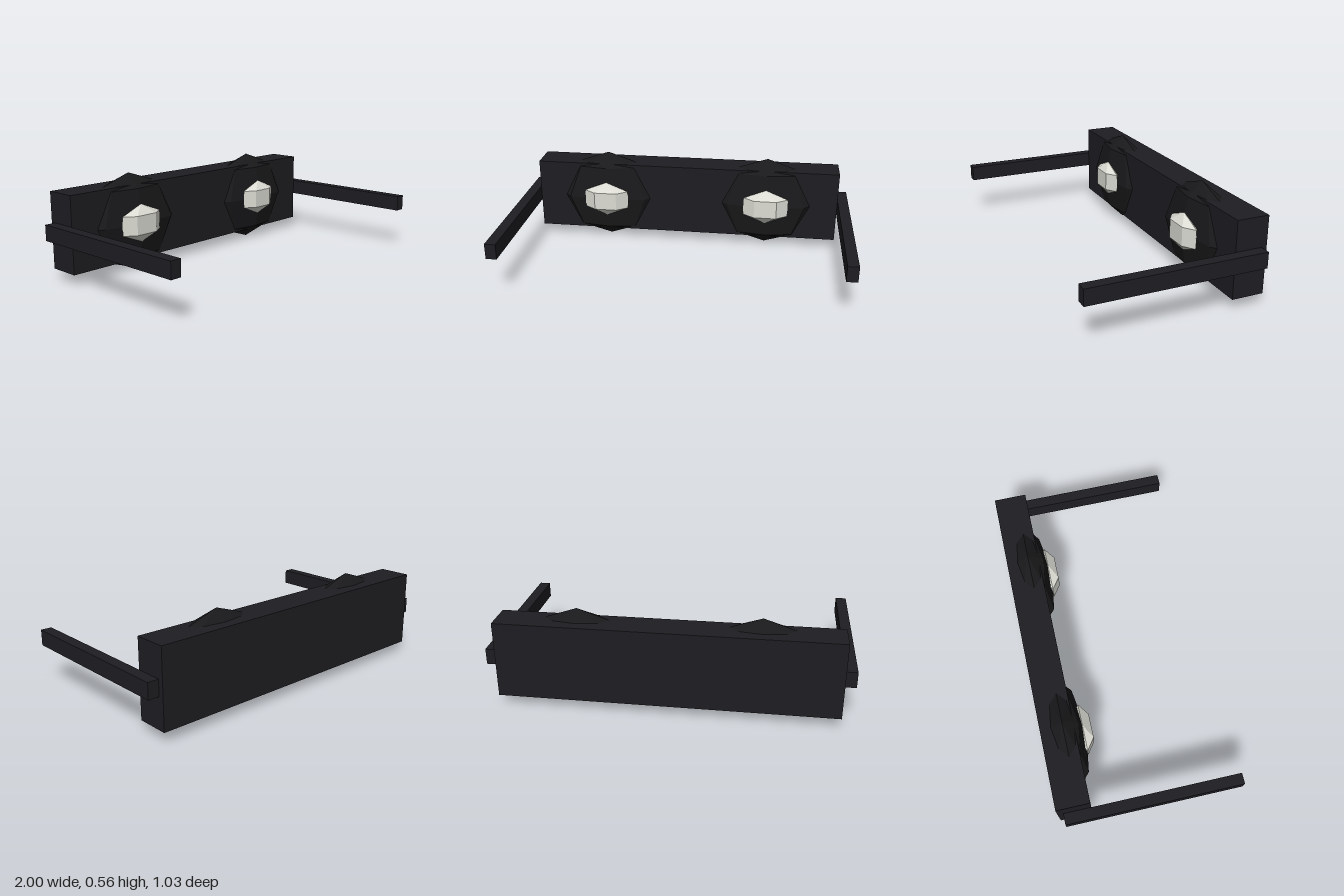
import * as THREE from 'three';

export function createModel() {
  const model = new THREE.Group();
  const dark = new THREE.MeshStandardMaterial({ color: 0x1e1d22, flatShading: true });
  const lensDark = new THREE.MeshStandardMaterial({ color: 0x19191b, flatShading: true });
  const pale = new THREE.MeshStandardMaterial({ color: 0xdcdcd4, flatShading: true });

  const add = (name, geometry, material, x, y, z) => {
    const mesh = new THREE.Mesh(geometry, material);
    mesh.name = name;
    mesh.position.set(x, y, z);
    model.add(mesh);
  };

  // Low-poly ellipsoid with its poles on the y axis
  const ellipsoid = (rx, ry, rz, around, high) =>
    new THREE.SphereGeometry(1, around, high).scale(rx, ry, rz);

  // Front bar
  add('frontBar', new THREE.BoxGeometry(1.876, 0.437, 0.185), dark, 0, 0.283, -0.423);

  for (const [side, s] of [['left', 1], ['right', -1]]) {
    // Side arm reaching forward
    add(side + 'Arm', new THREE.BoxGeometry(0.062, 0.09, 1), dark, s * 0.969, 0.285, 0.015);
    // Faceted lens sunk into the bar, with a pale centre
    add(side + 'Lens', ellipsoid(0.34, 0.28, 0.123, 8, 4), lensDark, s * 0.5, 0.283, -0.39);
    add(side + 'LensCentre', ellipsoid(0.157, 0.11, 0.064, 6, 3), pale, s * 0.5, 0.285, -0.285);
  }
  return model;
}
